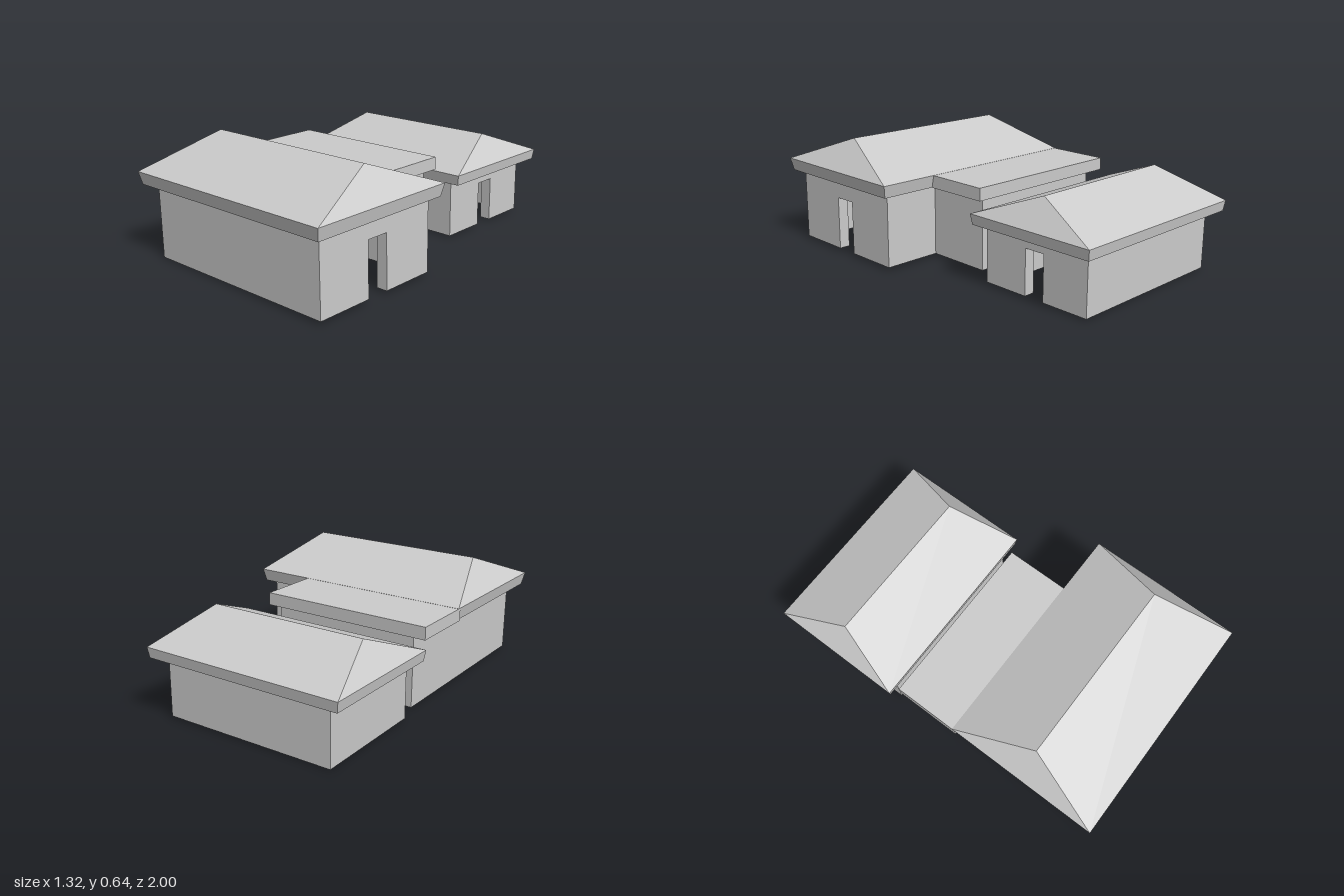
import * as THREE from 'three';

const grey = new THREE.MeshStandardMaterial({ color: 0xcccccc, flatShading: true });

function add(parent, name, geometry, x = 0, y = 0, z = 0) {
  const m = new THREE.Mesh(geometry, grey);
  m.name = name;
  m.position.set(x, y, z);
  parent.add(m);
  return m;
}

// Hollow walls from a floor outline of [x, z] points
function walls(parent, outline, y0, y1) {
  const shape = new THREE.Shape(outline.map(([x, z]) => new THREE.Vector2(x, -z)));
  const g = new THREE.ExtrudeGeometry(shape, { depth: y1 - y0, bevelEnabled: false });
  g.rotateX(-Math.PI / 2);
  add(parent, 'walls', g, 0, y0, 0);
}

// Wall piece above a doorway in the right-hand wall
function lintel(parent, x, t, d0, d1, y0, y1) {
  add(parent, 'doorLintel', new THREE.BoxGeometry(t, y1 - y0, d1 - d0), x - t / 2, (y0 + y1) / 2, (d0 + d1) / 2);
}

// Rectangle of corners, anticlockwise seen from above
const ring = (x0, x1, z0, z1, y) => [[x0, y, z1], [x1, y, z1], [x1, y, z0], [x0, y, z0]];

// Hipped roof: sloping underside, soffit, sloped fascia and outer slopes
function hipRoof(parent, { eave: [x0, x1, z0, z1], ridge: [r0, r1, rz, ry], low, high, soffit, inset }) {
  const s = soffit, i = inset;
  const rings = [
    ring(r0, r1, rz, rz, ry - 0.02),
    ring(x0 + s, x1 - s, z0 + s, z1 - s, low),
    ring(x0 + i, x1 - i, z0 + i, z1 - i, low),
    ring(x0, x1, z0, z1, high),
    ring(r0, r1, rz, rz, ry),
  ];
  const pos = [];
  const same = (p, q) => p.every((v, k) => v === q[k]);
  const tri = (a, b, c) => {
    if (!same(a, b) && !same(b, c) && !same(a, c)) pos.push(...a, ...b, ...c);
  };
  for (let r = 0; r < rings.length - 1; r++) {
    for (let k = 0; k < 4; k++) {
      const n = (k + 1) % 4;
      tri(rings[r][k], rings[r][n], rings[r + 1][n]);
      tri(rings[r][k], rings[r + 1][n], rings[r + 1][k]);
    }
  }
  const g = new THREE.BufferGeometry();
  g.setAttribute('position', new THREE.Float32BufferAttribute(pos, 3));
  g.computeVertexNormals();
  add(parent, 'hippedRoof', g);
}

// Small standing person with arms held out
function person() {
  const p = new THREE.Group();
  p.name = 'person';
  add(p, 'head', new THREE.SphereGeometry(0.015, 10, 8), 0, 0.203, 0);
  add(p, 'neck', new THREE.CylinderGeometry(0.006, 0.006, 0.02, 8), 0, 0.183, 0);
  add(p, 'torso', new THREE.CylinderGeometry(0.026, 0.018, 0.075, 8), 0, 0.14, 0).scale.z = 0.6;
  for (const s of [-1, 1]) {
    add(p, 'leg', new THREE.CylinderGeometry(0.011, 0.007, 0.11, 8), s * 0.012, 0.055, 0);
    add(p, 'foot', new THREE.BoxGeometry(0.014, 0.01, 0.032), s * 0.013, 0.005, 0.008);
    add(p, 'arm', new THREE.CylinderGeometry(0.005, 0.008, 0.09, 8), s * 0.063, 0.155, 0).rotation.z = -s * 1.9;
  }
  return p;
}

export function createModel() {
  const model = new THREE.Group();
  const t = 0.06;

  // Main house with an L-shaped plan, open at the doorway
  const main = new THREE.Group();
  main.name = 'mainHouse';
  walls(main, [
    [0.603, 0.63], [0.603, 0.94], [-0.545, 0.94], [-0.545, -0.165], [0.28, -0.165], [0.28, 0.2],
    [0.603, 0.2], [0.603, 0.505], [0.603 - t, 0.505], [0.603 - t, 0.2 + t], [0.28 - t, 0.2 + t],
    [0.28 - t, -0.165 + t], [-0.545 + t, -0.165 + t], [-0.545 + t, 0.94 - t], [0.603 - t, 0.94 - t],
    [0.603 - t, 0.63],
  ].reverse(), 0.006, 0.4);
  lintel(main, 0.603, t, 0.505, 0.63, 0.297, 0.4);
  hipRoof(main, {
    eave: [-0.628, 0.661, 0.147, 1.0], ridge: [-0.49, 0.527, 0.57, 0.627],
    low: 0.397, high: 0.465, soffit: 0.115, inset: 0.014,
  });
  add(main, 'extensionRoof', new THREE.BoxGeometry(0.962, 0.068, 0.365), -0.147, 0.43, -0.0175);
  main.rotation.set(0, -0.004, 0.012);

  // Smaller house behind
  const small = new THREE.Group();
  small.name = 'smallHouse';
  walls(small, [
    [0.37, -0.55], [0.37, -0.29], [-0.582, -0.29], [-0.582, -0.93], [0.37, -0.93], [0.37, -0.665],
    [0.37 - t, -0.665], [0.37 - t, -0.93 + t], [-0.582 + t, -0.93 + t], [-0.582 + t, -0.29 - t],
    [0.37 - t, -0.29 - t], [0.37 - t, -0.55],
  ].reverse(), 0.003, 0.318);
  lintel(small, 0.37, t, -0.665, -0.55, 0.247, 0.318);
  hipRoof(small, {
    eave: [-0.664, 0.448, -0.995, -0.25], ridge: [-0.545, 0.33, -0.625, 0.513],
    low: 0.313, high: 0.369, soffit: 0.125, inset: 0.008,
  });
  const figure = person();
  figure.position.set(-0.06, 0.004, -0.52);
  small.add(figure);
  small.rotation.set(0, -0.004, 0.01);

  model.add(main, small);
  return model;
}
